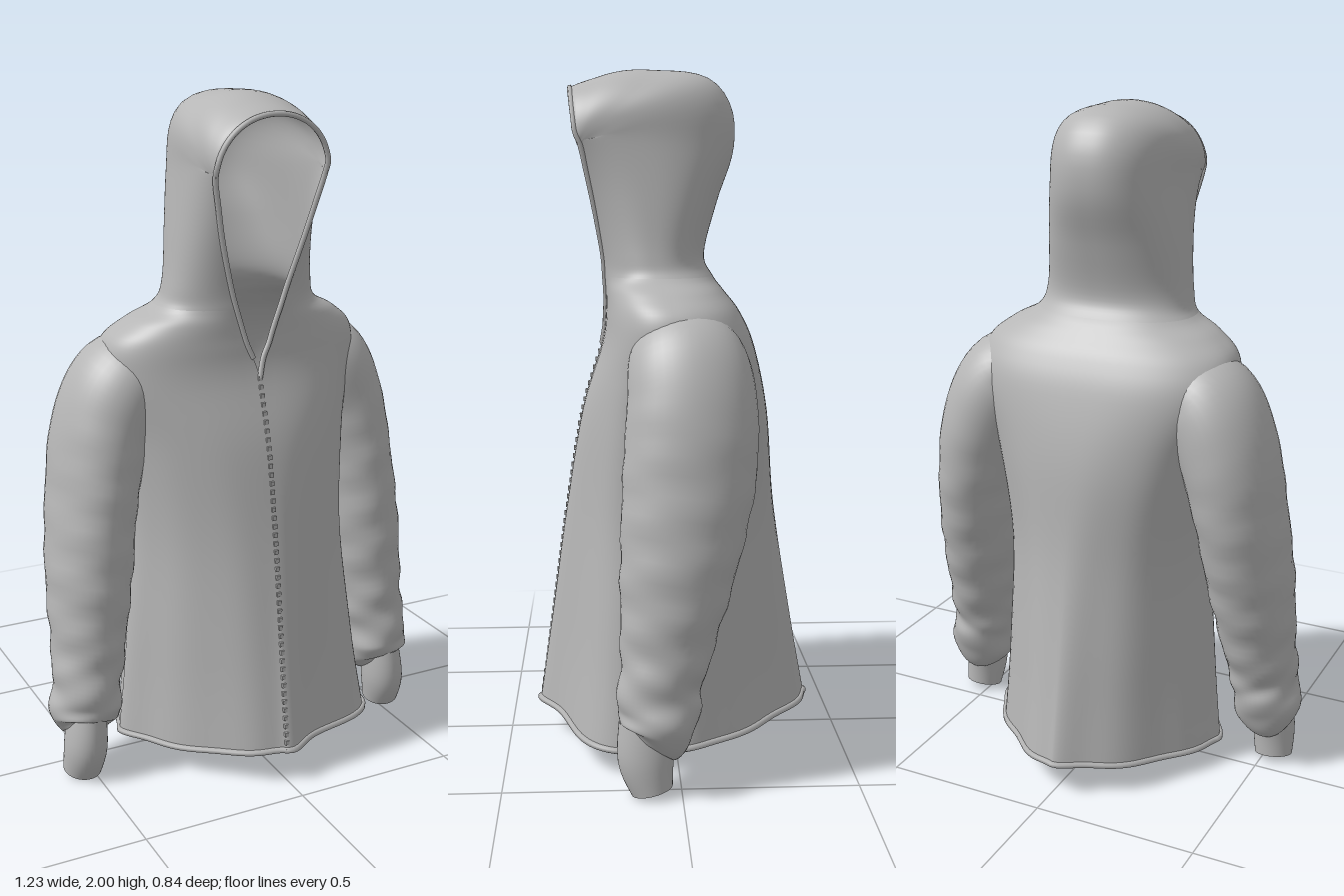
import * as THREE from 'three';

const cloth = new THREE.MeshStandardMaterial({ color: 0xb6b6b6, side: THREE.DoubleSide });
cloth.name = 'grey cloth';

// Smoothly fills in steps between the rows of a table
function smoothRows(table, steps) {
  const out = [], last = table.length - 1;
  const at = (i) => table[Math.min(last, Math.max(0, i))];
  for (let k = 0; k <= last * steps; k++) {
    const i = Math.min(last - 1, Math.floor(k / steps)), t = k / steps - i;
    out.push(table[i].map((b, c) => {
      const a = at(i - 1)[c], d = at(i + 1)[c], e = at(i + 2)[c];
      return b + 0.5 * t * (d - a + t * (2 * a - 5 * b + 4 * d - e + t * (3 * (b - d) + e - a)));
    }));
  }
  return out;
}

// Skins a list of equal-length point rings
function skin(name, rings, closed, flip = false) {
  const m = rings[0].length, index = [], pos = [];
  rings.forEach((r) => r.forEach((p) => pos.push(p.x, p.y, p.z)));
  for (let i = 0; i < rings.length - 1; i++) {
    for (let j = 0; j < (closed ? m : m - 1); j++) {
      const a = i * m + j, b = i * m + ((j + 1) % m), c = b + m, d = a + m;
      if (flip) index.push(a, c, b, a, d, c);
      else index.push(a, b, c, a, c, d);
    }
  }
  const g = new THREE.BufferGeometry();
  g.setAttribute('position', new THREE.Float32BufferAttribute(pos, 3));
  g.setIndex(index);
  g.computeVertexNormals();
  const mesh = new THREE.Mesh(g, cloth);
  mesh.name = name;
  return mesh;
}

function cord(name, points, radius, closed) {
  const curve = new THREE.CatmullRomCurve3(points, closed);
  const mesh = new THREE.Mesh(new THREE.TubeGeometry(curve, 160, radius, 6, closed), cloth);
  mesh.name = name;
  return mesh;
}

// Torso and hood: height, half width, front z, depth, half opening, squareness, fan angle
const GARMENT = [
  [0.10, 0.37, 0.405, 0.815, 0, 1.42, 0],
  [0.35, 0.345, 0.37, 0.735, 0, 1.5, 0],
  [0.70, 0.32, 0.322, 0.632, 0, 1.75, 0],
  [1.00, 0.345, 0.272, 0.555, 0, 2.2, 0],
  [1.20, 0.395, 0.212, 0.45, 0, 2.6, 0],
  [1.30, 0.39, 0.20, 0.395, 0.035, 2.5, 0],
  [1.36, 0.325, 0.20, 0.35, 0.055, 2.4, 0],
  [1.405, 0.245, 0.203, 0.32, 0.07, 2.3, 0],
  [1.47, 0.222, 0.208, 0.30, 0.09, 2.3, 0],
  [1.62, 0.204, 0.235, 0.365, 0.132, 2.4, 0],
  [1.78, 0.188, 0.27, 0.45, 0.168, 2.4, 0],
  [1.78, 0.187, 0.272, 0.44, 0.168, 2.3, 24],
  [1.78, 0.183, 0.275, 0.31, 0.168, 2.1, 45],
  [1.78, 0.178, 0.275, 0.21, 0.168, 2.0, 73],
  [1.78, 0.172, 0.28, 0.17, 0.172, 2.1, 97],
];

function garmentRing([y, w, zf, len, gap, n, fan]) {
  const power = (v) => Math.sign(v) * Math.abs(v) ** (2 / n);
  const open = Math.min(1, Math.max(0, gap) / w);
  const t0 = Math.asin(open ** (n / 2));
  const c0 = power(Math.cos(t0)), d = len / (1 + c0), phi = fan * Math.PI / 180;
  const folds = Math.max(0, 1.15 - y), ring = [];
  for (let j = 0; j <= 96; j++) {
    const t = t0 + (2 * Math.PI - 2 * t0) * j / 96;
    // Loose folds that fade out towards the chest, with one large fold at the left front
    const bulge = 0.29 * Math.exp(-(((t - 0.97) / 0.27) ** 2)) * folds;
    const f = 1 + bulge + folds * (0.008 * Math.sin(7 * t) + 0.012 * Math.sin(12 * t));
    const back = d * (c0 - f * power(Math.cos(t)));
    const drop = 0.045 * Math.sin(t) ** 2 * Math.max(0, 1 - y / 0.5);
    ring.push(new THREE.Vector3(w * f * power(Math.sin(t)),
      y - drop + back * Math.sin(phi), zf - back * Math.cos(phi)));
  }
  return ring;
}

// Sleeve and cuff: centre x, y, z, half width, half depth, wrinkle amount
const SLEEVE = [
  [0.22, 1.22, -0.02, 0.08, 0.12, 0],
  [0.322, 1.185, -0.025, 0.138, 0.165, 0],
  [0.392, 1.05, -0.035, 0.141, 0.182, 0.005],
  [0.435, 0.85, -0.022, 0.13, 0.183, 0.015],
  [0.463, 0.62, 0.01, 0.126, 0.16, 0.025],
  [0.483, 0.42, 0.04, 0.111, 0.13, 0.035],
  [0.497, 0.30, 0.06, 0.102, 0.115, 0.06],
  [0.507, 0.22, 0.065, 0.105, 0.112, 0.06],
  [0.515, 0.17, 0.075, 0.095, 0.10, 0.04],
  [0.52, 0.145, 0.09, 0.06, 0.08, 0],
];
const CUFF = [
  [0.515, 0.20, 0.095, 0.055, 0.08, 0],
  [0.523, 0.10, 0.10, 0.063, 0.078, 0],
  [0.53, 0.014, 0.083, 0.058, 0.058, 0],
];

function limbRings(table, steps, side) {
  const rows = smoothRows(table, steps);
  const centre = rows.map(([x, y, z]) => new THREE.Vector3(x, y, z));
  return rows.map(([, y, , rx, rz, wrinkle], i) => {
    const along = centre[Math.min(i + 1, rows.length - 1)].clone()
      .sub(centre[Math.max(i - 1, 0)]).normalize();
    const out = new THREE.Vector3(-along.y, along.x, 0).normalize();
    const front = new THREE.Vector3().crossVectors(out, along).normalize();
    if (front.z < 0) front.negate();
    return Array.from({ length: 40 }, (_, j) => {
      const t = j / 40 * Math.PI * 2;
      const f = 1 + wrinkle * (0.6 * Math.sin(y * 42 + 2 * t) + 0.4 * Math.sin(y * 65 - 3 * t));
      const p = centre[i].clone().addScaledVector(out, Math.cos(t) * rx * f)
        .addScaledVector(front, Math.sin(t) * rz * f);
      p.x *= side;
      return p;
    });
  });
}

export function createModel() {
  const model = new THREE.Group();
  model.name = 'hoodedJacket';

  // Torso and hood shell, open at the hem and the face
  const rows = smoothRows(GARMENT, 6);
  const rings = rows.map(garmentRing);
  const neck = 7 * 6;
  model.add(skin('torso', rings.slice(0, neck + 1), false));
  model.add(skin('hood', rings.slice(neck), false));

  // Rolled hem and hood edge
  model.add(cord('hem', rings[0].slice(0, -1), 0.01, true));
  const edge = rings.slice(4 * 6, 10 * 6 + 1).filter((_, i) => i % 3 === 0);
  const arch = rings[rings.length - 1].filter((_, j) => j % 6 === 0);
  model.add(cord('hoodEdge', [
    ...edge.map((r) => r[0]),
    ...arch.slice(1, -1),
    ...edge.slice(1).reverse().map((r) => r[r.length - 1]),
  ], 0.008, false));

  // Zip teeth down the front
  const zip = new THREE.Group();
  zip.name = 'zip';
  const line = new THREE.CatmullRomCurve3(rings.slice(0, 4 * 6 + 1).map((r) => r[0]));
  const tooth = new THREE.BoxGeometry(0.012, 0.013, 0.01);
  for (let i = 0; i <= 44; i++) {
    const mesh = new THREE.Mesh(tooth, cloth);
    mesh.name = 'zipTooth';
    mesh.position.copy(line.getPointAt(i / 44));
    zip.add(mesh);
  }
  model.add(zip);

  // Sleeves with ribbed cuffs
  for (const [label, side] of [['left', 1], ['right', -1]]) {
    model.add(skin(label + 'Sleeve', limbRings(SLEEVE, 8, side), true, side < 0));
    model.add(skin(label + 'Cuff', limbRings(CUFF, 5, side), true, side < 0));
  }
  return model;
}
